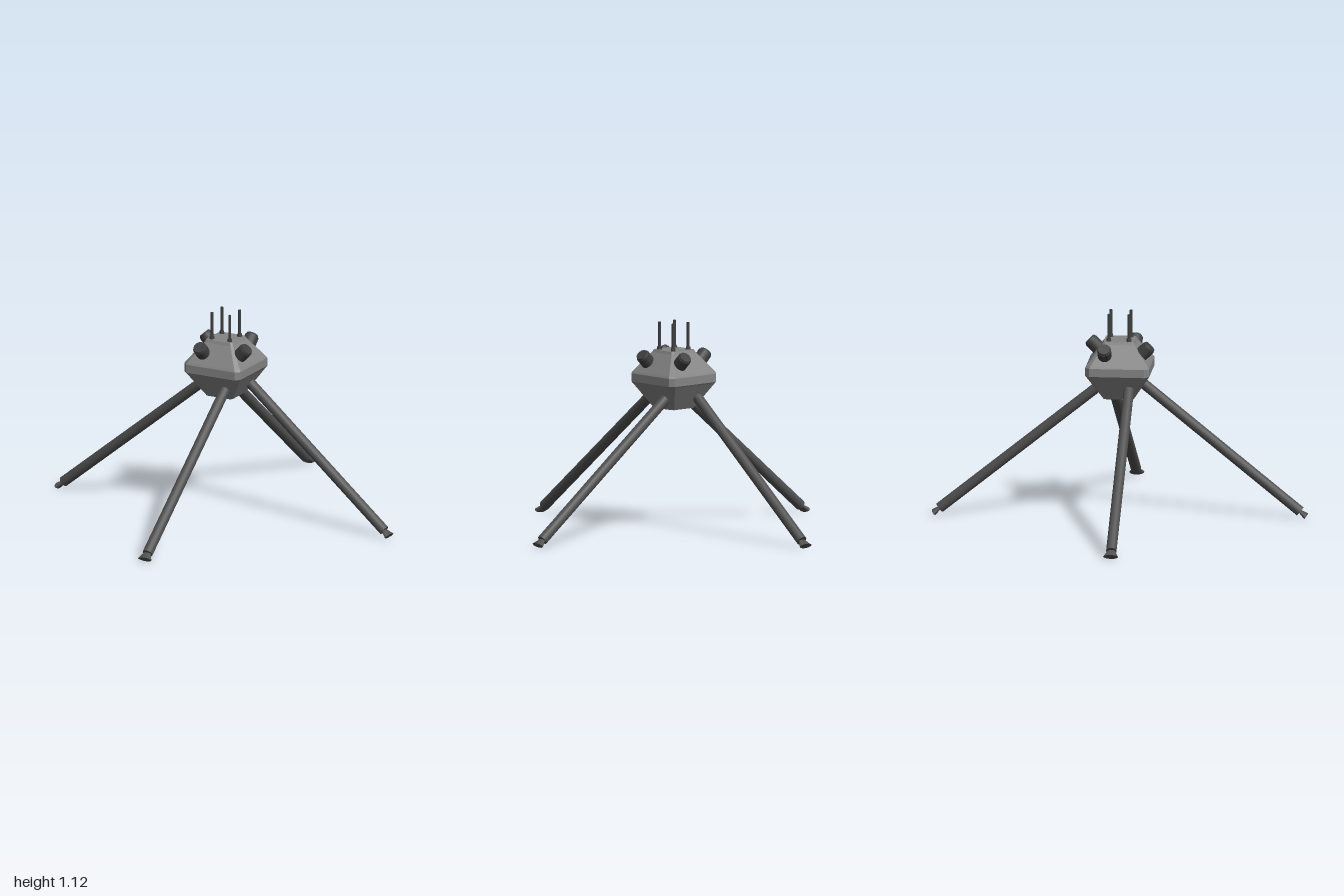
import * as THREE from 'three';

const bodyGrey = new THREE.MeshStandardMaterial({ color: 0x848484 });
bodyGrey.name = 'body grey';
bodyGrey.flatShading = true;
const legGrey = new THREE.MeshStandardMaterial({ color: 0x505050 });
legGrey.name = 'leg grey';
const darkGrey = new THREE.MeshStandardMaterial({ color: 0x404040 });
darkGrey.name = 'dark grey';

function add(parent, name, geometry, material) {
  const mesh = new THREE.Mesh(geometry, material);
  mesh.name = name;
  parent.add(mesh);
  return mesh;
}

// Solid lofted through square sections with cut corners: [y, half width, corner cut]
function loftSquares(sections) {
  const pos = [], index = [];
  for (const [y, h, c] of sections) {
    const k = h - c;
    for (const [x, z] of [[k, h], [h, k], [h, -k], [k, -h], [-k, -h], [-h, -k], [-h, k], [-k, h]]) pos.push(x, y, z);
  }
  for (let s = 0; s < sections.length - 1; s++) {
    for (let i = 0; i < 8; i++) {
      const a = s * 8 + i, b = s * 8 + (i + 1) % 8;
      index.push(a, b, b + 8, a, b + 8, a + 8);
    }
  }
  const top = (sections.length - 1) * 8;
  for (let i = 1; i < 7; i++) {
    index.push(0, i + 1, i, top, top + i, top + i + 1);
  }
  const geo = new THREE.BufferGeometry();
  geo.setAttribute('position', new THREE.Float32BufferAttribute(pos, 3));
  geo.setIndex(index);
  const flat = geo.toNonIndexed();
  flat.computeVertexNormals();
  return flat;
}

// A leg reaching out along +z, with a flat flared foot at its tip
function makeLeg(startX, endX) {
  const leg = new THREE.Group();
  leg.name = 'leg';
  const start = new THREE.Vector3(startX, 0.782, 0.05);
  const end = new THREE.Vector3(endX, 0.046, 0.959);
  const length = start.distanceTo(end);
  add(leg, 'legTube', new THREE.CylinderGeometry(0.028, 0.028, length, 16), legGrey).position.y = length / 2;
  const foot = add(leg, 'foot', new THREE.CylinderGeometry(0.04, 0.02, 0.042, 16), legGrey);
  foot.scale.z = 0.42;
  foot.position.y = length + 0.019;
  // local y runs down the leg, local x stays sideways
  const yAxis = end.clone().sub(start).normalize();
  const zAxis = new THREE.Vector3(1, 0, 0).cross(yAxis).normalize();
  const xAxis = yAxis.clone().cross(zAxis);
  leg.quaternion.setFromRotationMatrix(new THREE.Matrix4().makeBasis(xAxis, yAxis, zAxis));
  leg.position.copy(start);
  return leg;
}

// A stubby sensor barrel with a narrower cap, tilted up and out along +z
function makeSensor() {
  const sensor = new THREE.Group();
  sensor.name = 'sensor';
  add(sensor, 'sensorBarrel', new THREE.CylinderGeometry(0.038, 0.038, 0.11, 16), darkGrey).position.y = -0.065;
  add(sensor, 'sensorCap', new THREE.CylinderGeometry(0.032, 0.036, 0.012, 16), darkGrey).position.y = -0.005;
  sensor.position.set(-0.069, 0.96, 0.168);
  sensor.rotation.x = Math.PI / 4;
  return sensor;
}

export function createModel() {
  const model = new THREE.Group();
  model.name = 'fourLeggedProbe';

  // Faceted body
  add(model, 'body', loftSquares([
    [0.667, 0.08, 0.01],
    [0.8, 0.165, 0.022],
    [0.808, 0.171, 0.024],
    [0.852, 0.171, 0.024],
    [0.862, 0.165, 0.022],
    [0.965, 0.087, 0.01],
    [0.98, 0.08, 0.01],
  ]), bodyGrey);

  // Legs and sensors, a quarter turn apart
  const legOffsets = [[0.06, 0.056], [0.063, 0.01], [0.065, 0.045], [0.06, 0.05]];
  legOffsets.forEach(([startX, endX], i) => {
    const side = new THREE.Group();
    side.name = 'side' + (i + 1);
    side.rotation.y = i * Math.PI / 2;
    side.add(makeLeg(startX, endX), makeSensor());
    model.add(side);
  });

  // Antennas on the roof
  for (const x of [-0.054, 0.054]) {
    for (const z of [-0.054, 0.054]) {
      const antenna = new THREE.Group();
      antenna.name = 'antenna';
      add(antenna, 'antennaBase', new THREE.CylinderGeometry(0.012, 0.014, 0.02, 10), darkGrey).position.y = 0.985;
      add(antenna, 'antennaRod', new THREE.CylinderGeometry(0.008, 0.008, 0.15, 8), darkGrey).position.y = 1.052;
      antenna.position.set(x, 0, z);
      model.add(antenna);
    }
  }
  return model;
}
